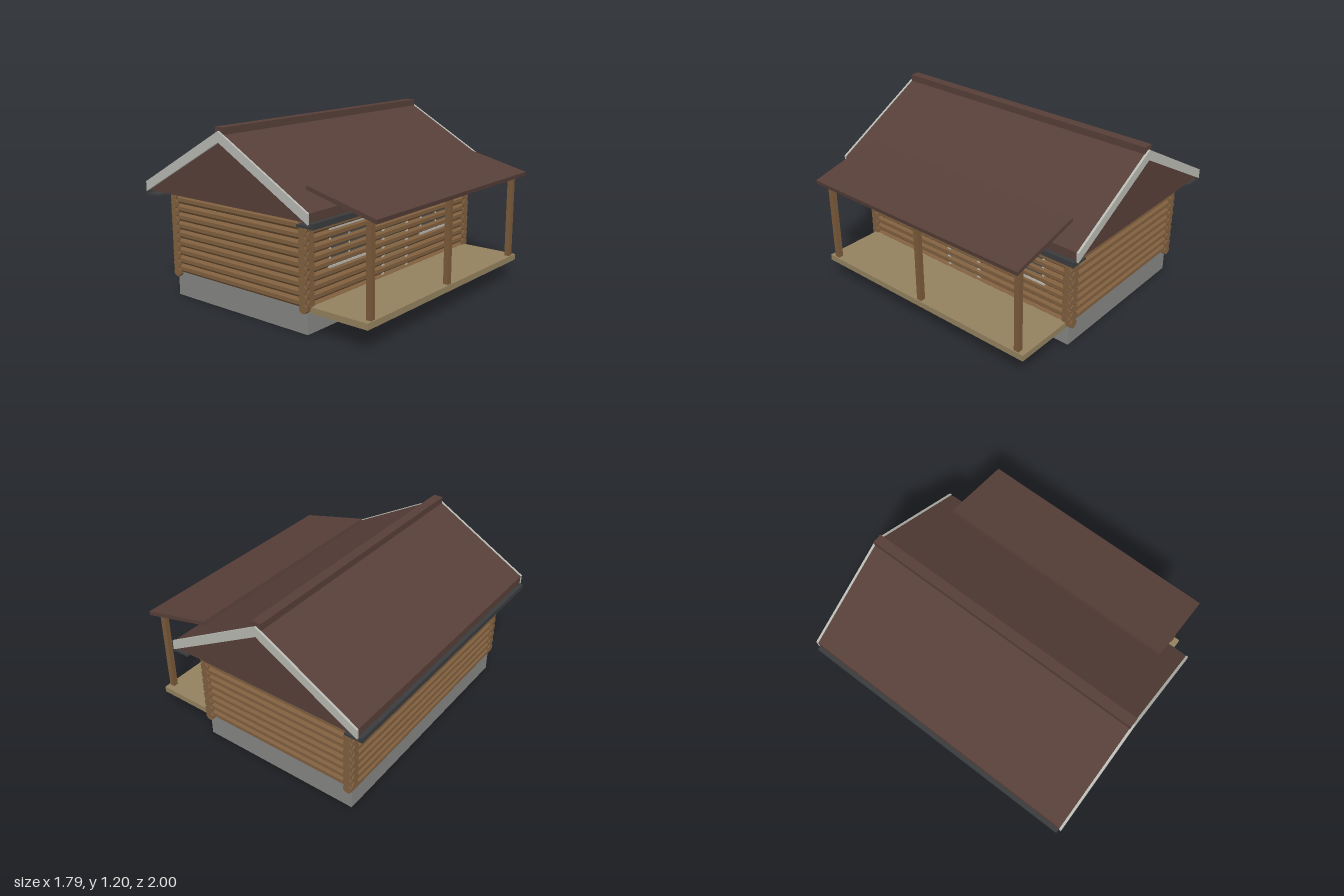
import * as THREE from 'three';

const mat = (name, color) => {
  const m = new THREE.MeshStandardMaterial({ color });
  m.name = name;
  return m;
};

export function createModel() {
  const cabin = new THREE.Group();
  cabin.name = 'logCabin';
  const roofBrown = mat('roofBrown', 0x573f38);
  const logBrown = mat('logBrown', 0x80603f);
  const postBrown = mat('postBrown', 0x7a5a3a);
  const concrete = mat('concreteGrey', 0x868684);
  const deckTan = mat('deckTan', 0x94825f);
  const trim = mat('trimPaleGrey', 0xb9bab3);
  const gutterGrey = mat('gutterDarkGrey', 0x3a3c3e);
  const glass = mat('windowGlass', 0x4c565c);
  logBrown.flatShading = true;

  const add = (name, geometry, material, parent = cabin) => {
    const mesh = new THREE.Mesh(geometry, material);
    mesh.name = name;
    parent.add(mesh);
    return mesh;
  };
  // Box given by its lower and upper limits on each axis
  const box = (name, material, x0, x1, y0, y1, z0, z1, parent) => {
    const mesh = add(name, new THREE.BoxGeometry(x1 - x0, y1 - y0, z1 - z0), material, parent);
    mesh.position.set((x0 + x1) / 2, (y0 + y1) / 2, (z0 + z1) / 2);
    return mesh;
  };
  // Outline in x and y, extruded from z0 to z1
  const slab = (name, material, points, z0, z1) => {
    const shape = new THREE.Shape(points.map(([x, y]) => new THREE.Vector2(x, y)));
    const geometry = new THREE.ExtrudeGeometry(shape, { depth: z1 - z0, bevelEnabled: false });
    return add(name, geometry.translate(0, 0, z0), material);
  };

  // Foundation
  box('foundation', concrete, -0.75, 0.4, 0, 0.172, -0.865, 0.865);

  // Log walls: eight-sided logs, the two directions staggered by half a log
  const walls = new THREE.Group();
  walls.name = 'logWalls';
  cabin.add(walls);
  const pitch = 0.0585, half = pitch / 2;
  const radius = half / Math.cos(Math.PI / 8);
  const left = -0.733, right = 0.386, front = 0.856, overlap = 0.037;
  const log = (length) =>
    new THREE.CylinderGeometry(radius, radius, length, 8).rotateY(Math.PI / 8);
  const sideLog = log(2 * (front + overlap)).rotateX(Math.PI / 2);
  const endLog = log(right - left + 2 * overlap).rotateZ(Math.PI / 2);
  for (let i = 0; i < 10; i++) {
    const y = 0.138 + half + i * pitch;
    for (const x of [left, right]) add('sideLog', sideLog, logBrown, walls).position.set(x, y, 0);
    for (const z of [-front, front]) {
      add('endLog', endLog, logBrown, walls).position.set((left + right) / 2, y + half, z);
    }
  }

  // Door set into the porch wall
  const door = new THREE.Group();
  door.name = 'door';
  cabin.add(door);
  box('doorPanel', deckTan, 0.37, 0.402, 0.17, 0.67, -0.12, 0.12, door);
  for (const s of [-1, 1]) {
    const z = s * 0.132;
    box('doorJamb', trim, 0.37, 0.405, 0.17, 0.69, z - 0.013, z + 0.013, door);
  }
  box('doorHead', trim, 0.37, 0.405, 0.665, 0.69, -0.12, 0.12, door);

  // Two windows beside the door
  for (const s of [-1, 1]) {
    const win = new THREE.Group();
    win.name = 'window';
    win.position.z = s * 0.48;
    cabin.add(win);
    box('glass', glass, 0.37, 0.402, 0.38, 0.61, -0.18, 0.18, win);
    for (const z of [-0.182, 0, 0.182]) {
      box('windowBar', trim, 0.37, 0.404, 0.38, 0.61, z - 0.008, z + 0.008, win);
    }
    box('windowHead', trim, 0.37, 0.404, 0.6, 0.615, -0.19, 0.19, win);
    box('windowSill', trim, 0.37, 0.418, 0.372, 0.386, -0.203, 0.203, win);
  }

  // Main roof with closed gables, ridge cap and gable boards
  const ridge = -0.173, span = 0.696, low = 0.725, eave = 0.78, peak = 1.17;
  slab('mainRoof', roofBrown, [
    [ridge - span, low], [ridge + span, low], [ridge + span, eave],
    [ridge, peak], [ridge - span, eave],
  ], -0.985, 0.985);
  box('ridgeCap', roofBrown, ridge - 0.033, ridge + 0.033, 1.15, 1.197, -0.988, 0.988);
  const boardOutline = [
    [ridge - span - 0.003, 0.718], [ridge, 1.106], [ridge + span + 0.003, 0.718],
    [ridge + span + 0.003, eave + 0.003], [ridge, peak + 0.004], [ridge - span - 0.003, eave + 0.003],
  ];
  slab('frontGableBoard', trim, boardOutline, 0.985, 1);
  slab('backGableBoard', trim, boardOutline, -1, -0.985);

  // Gutters under both eaves
  for (const s of [-1, 1]) {
    const strip = (name, a, b, y0, y1) => {
      const xs = [ridge + s * a, ridge + s * b].sort((p, q) => p - q);
      box(name, gutterGrey, xs[0], xs[1], y0, y1, -0.983, 0.983);
    };
    strip('gutterBase', 0.6, 0.705, 0.69, 0.704);
    strip('gutterLip', 0.7, 0.722, 0.688, 0.723);
  }

  // Porch: deck, door step, posts and sloping roof
  box('porchDeck', deckTan, 0.398, 0.838, 0.137, 0.178, -0.857, 0.857);
  box('doorStep', concrete, 0.4, 0.54, 0.134, 0.16, -0.2, 0.2);
  for (const z of [-0.8, 0, 0.8]) {
    box('porchPost', postBrown, 0.793, 0.829, 0.175, 0.75, z - 0.018, z + 0.018);
  }
  slab('porchRoof', roofBrown, [
    [0.385, 0.874], [0.888, 0.752], [0.892, 0.779], [0.39, 0.9],
  ], -0.853, 0.853);

  return cabin;
}
